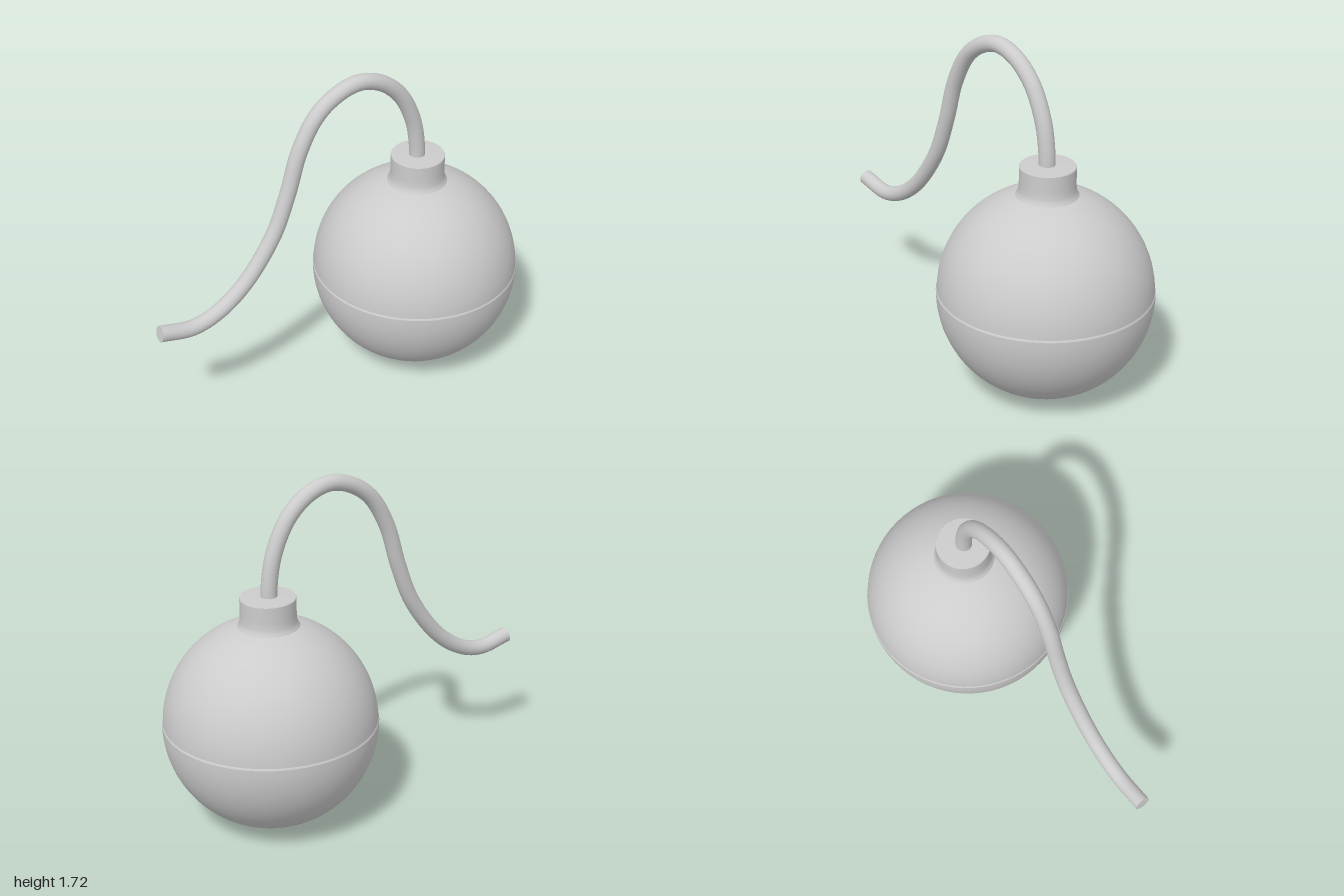
import * as THREE from 'three';

const CX = 0.468, CY = 0.532, R = 0.53;

export function createModel() {
  const group = new THREE.Group();
  const mat = new THREE.MeshStandardMaterial({ color: 0xcccccc });
  const add = (name, geo, parent = group) => {
    const mesh = new THREE.Mesh(geo, mat);
    mesh.name = name;
    parent.add(mesh);
    return mesh;
  };
  // Hard-edged lathe: each profile gets its own smooth surface
  const lathe = (name, pts) => {
    const mesh = add(name, new THREE.LatheGeometry(pts.map(p => new THREE.Vector2(...p)), 64));
    mesh.position.set(CX, CY, 0);
    return mesh;
  };
  const arc = (r, a0, a1, n = 32) => Array.from({ length: n + 1 }, (_, i) => {
    const a = a0 + (a1 - a0) * i / n;
    return [Math.max(0, r * Math.cos(a)), r * Math.sin(a)];
  });

  // Round body in two halves, with a narrow ledge where they meet
  const seam = 0.015, upperR = R - 0.005;
  lathe('lowerBody', arc(R, -Math.PI / 2, seam));
  lathe('seamLedge', [[R, R * seam], [R - 0.003, 0.016], [upperR - 0.002, 0.02]]);
  lathe('upperBody', arc(upperR + 0.001, 0.03, Math.PI / 2));

  // Neck with a small flare blending into the body
  lathe('neck', [[0.155, 0.498], [0.143, 0.515], [0.137, 0.535], [0.135, 0.57], [0.135, 0.645]]);
  lathe('neckTop', [[0.135, 0.645], [0.131, 0.652], [0, 0.652]]);

  // Curved fuse
  const path = new THREE.CatmullRomCurve3([
    [0.462, 1.12], [0.46, 1.23], [0.43, 1.39], [0.35, 1.55], [0.24, 1.645],
    [0.12, 1.68], [0, 1.65], [-0.11, 1.57], [-0.205, 1.41], [-0.275, 1.19],
    [-0.36, 0.98], [-0.52, 0.76], [-0.67, 0.645], [-0.81, 0.603], [-0.985, 0.634],
  ].map(([x, y]) => new THREE.Vector3(x, y, 0)));
  const fuse = new THREE.Group();
  fuse.name = 'fuse';
  group.add(fuse);
  add('fuseCord', new THREE.TubeGeometry(path, 96, 0.04, 20), fuse);
  const tip = add('fuseTip', new THREE.CircleGeometry(0.04, 20), fuse);
  tip.position.copy(path.getPointAt(1));
  tip.quaternion.setFromUnitVectors(new THREE.Vector3(0, 0, 1), path.getTangentAt(1));

  return group;
}
